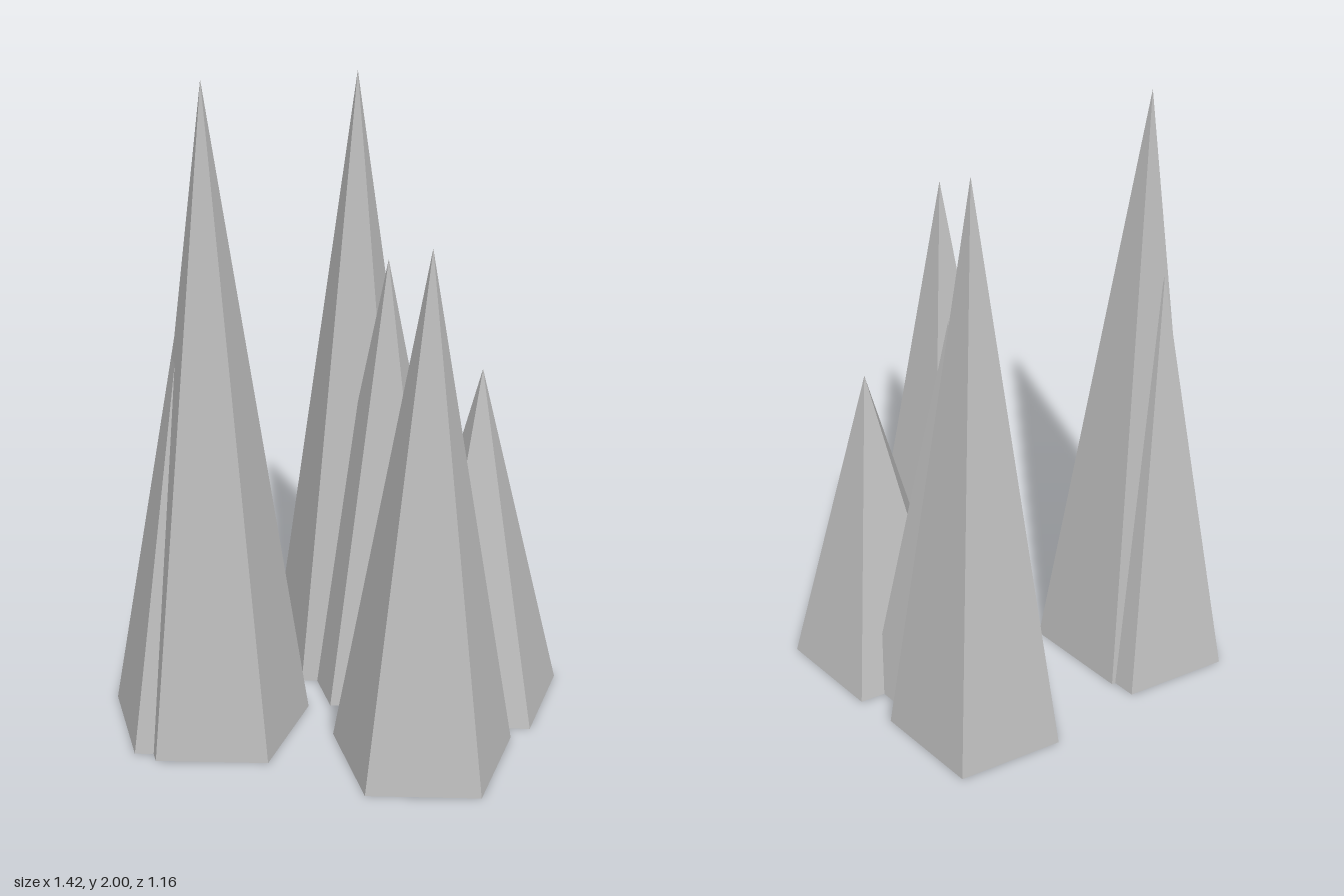
import * as THREE from 'three';

// Cluster of tall five-sided spikes standing on a common ground plane.
export function createModel() {
  const group = new THREE.Group();
  group.name = 'spikeCluster';

  const stone = new THREE.MeshStandardMaterial({ color: 0xbcbcbc, flatShading: true });
  stone.name = 'stone grey';

  const RADIUS = 0.288;

  // name, x, z, height
  const spikes = [
    ['tallRightSpike', -0.367, 0.187, 2.0],
    ['shortRightSpike', -0.436, 0.151, 1.435],
    ['tallBackSpike', 0.046, -0.291, 1.95],
    ['middleSpike', 0.145, -0.141, 1.41],
    ['frontSpike', 0.265, 0.344, 1.58],
    ['shortLeftSpike', 0.432, -0.027, 1.105],
  ];

  for (const [name, x, z, height] of spikes) {
    // one corner points to the back, a flat face to the front
    const geometry = new THREE.ConeGeometry(RADIUS, height, 5, 1, false, Math.PI);
    const spike = new THREE.Mesh(geometry, stone);
    spike.name = name;
    spike.position.set(x, height / 2, z);
    group.add(spike);
  }

  return group;
}
